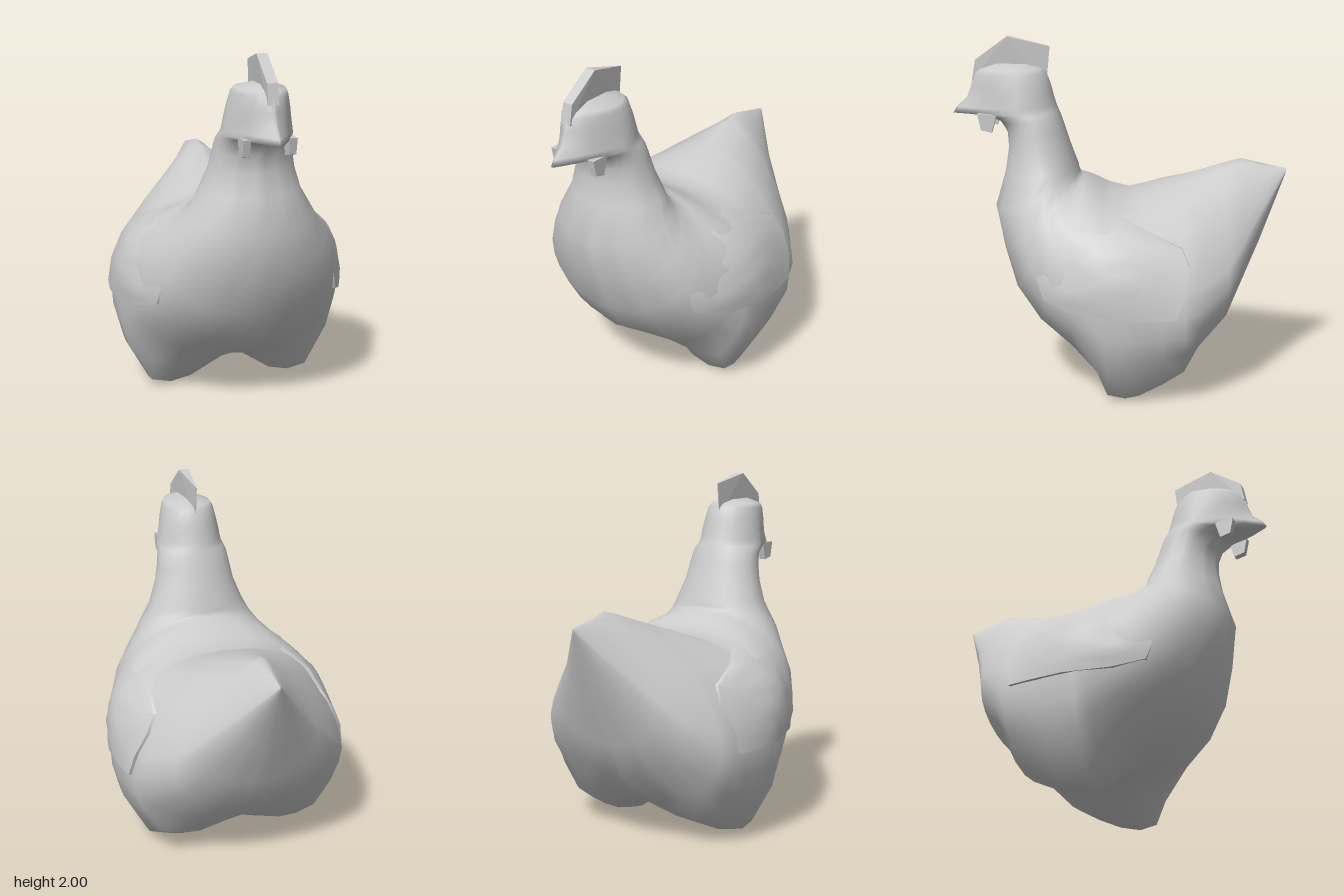
import * as THREE from 'three';
import { toCreasedNormals } from 'three/addons/utils/BufferGeometryUtils.js';

const material = new THREE.MeshStandardMaterial({ color: 0xcccccc, side: THREE.DoubleSide });

// Skin a list of closed rings, closing both ends; winding is chosen so faces point outward
function loft(rings) {
  const n = rings[0].length;
  const middle = ring => {
    const c = ring.reduce((sum, p) => sum.add(p), new THREE.Vector3()).divideScalar(n);
    return ring.map(() => c);
  };
  const all = [middle(rings[0]), ...rings, middle(rings[rings.length - 1])];
  const pts = all.flat();
  const index = [];
  for (let r = 0; r < all.length - 1; r++) {
    for (let i = 0; i < n; i++) {
      const a = r * n + i, b = r * n + (i + 1) % n;
      if (r > 0) index.push(a, b, a + n);
      if (r < all.length - 2) index.push(b, b + n, a + n);
    }
  }
  let volume = 0;
  for (let i = 0; i < index.length; i += 3) {
    const [a, b, c] = [0, 1, 2].map(k => pts[index[i + k]]);
    volume += a.dot(new THREE.Vector3().crossVectors(b, c));
  }
  if (volume < 0) index.reverse();
  const geo = new THREE.BufferGeometry().setFromPoints(pts);
  geo.setIndex(index);
  geo.computeVertexNormals();
  return geo;
}

function addMesh(parent, name, geo) {
  const mesh = new THREE.Mesh(geo, material);
  mesh.name = name;
  parent.add(mesh);
  return mesh;
}

// Cross-sections from tail to crown. Each runs from a back point to a front point in the side plane:
// back z, back y, front z, front y, half width, where it is widest (0..1), back and front roundness, leg amount
const trunk = [
  [-0.95, 1.25, -0.945, 1.22, 0.01, 0.5, 2, 2, 0],
  [-0.80, 1.285, -0.80, 0.83, 0.18, 0.62, 1.3, 2, 0],
  [-0.69, 1.31, -0.69, 0.58, 0.34, 0.68, 1.3, 2, 0],
  [-0.61, 1.29, -0.61, 0.40, 0.46, 0.69, 1.4, 2, 0],
  [-0.45, 1.24, -0.45, 0.25, 0.595, 0.67, 1.6, 2, 0.08],
  [-0.37, 1.215, -0.37, 0.20, 0.62, 0.65, 1.7, 2, 0.45],
  [-0.25, 1.18, -0.25, 0.17, 0.64, 0.62, 1.9, 2, 0.68],
  [-0.12, 1.13, -0.12, 0.16, 0.655, 0.57, 2.2, 2, 0.93],
  [-0.04, 1.105, -0.04, 0.16, 0.66, 0.54, 2.4, 2, 1],
  [0.06, 1.13, 0.06, 0.17, 0.655, 0.53, 2.4, 2, 0.93],
  [0.10, 1.15, 0.12, 0.18, 0.645, 0.52, 2.3, 2, 0.5],
  [0.16, 1.185, 0.28, 0.25, 0.61, 0.53, 2.2, 2, 0.1],
];
const chestAndHead = [
  [0.20, 1.205, 0.46, 0.37, 0.565, 0.56, 2.1, 2],
  [0.22, 1.212, 0.60, 0.57, 0.505, 0.53, 2, 2],
  [0.23, 1.22, 0.67, 0.80, 0.425, 0.53, 2, 2],
  [0.235, 1.235, 0.72, 1.03, 0.345, 0.5, 2, 2],
  [0.24, 1.26, 0.66, 1.24, 0.285, 0.45, 2, 2],
  [0.28, 1.37, 0.64, 1.37, 0.24, 0.5, 2, 2],
  [0.315, 1.48, 0.645, 1.46, 0.22, 0.5, 2, 2],
  [0.335, 1.54, 0.69, 1.53, 0.21, 0.47, 2, 1.8],
  [0.35, 1.58, 0.78, 1.555, 0.20, 0.45, 2, 1.6],
  [0.355, 1.595, 0.955, 1.565, 0.195, 0.36, 2, 1.2],
  [0.365, 1.62, 0.935, 1.60, 0.19, 0.37, 2, 1.2],
  [0.38, 1.67, 0.875, 1.655, 0.18, 0.39, 2, 1.4],
  [0.395, 1.73, 0.85, 1.72, 0.167, 0.4, 2, 1.6],
  [0.42, 1.80, 0.835, 1.79, 0.15, 0.4, 2, 1.7],
  [0.45, 1.825, 0.80, 1.82, 0.135, 0.42, 2, 1.8],
  [0.53, 1.845, 0.71, 1.85, 0.04, 0.5, 2, 2],
];

// Front half of a section: fraction of the width, then the x and y it takes where the leg is full
const legProfile = [[0.95, 0.645, 0.42], [0.86, 0.605, 0.26], [0.74, 0.47, 0.02], [0.56, 0.36, 0],
  [0.4, 0.24, 0.03], [0.1, 0.06, 0.16]];

function bodyRing([bz, by, fz, fy, w, mid, eb, ef, leg = 0]) {
  const at = (x, t) => new THREE.Vector3(x, by + (fy - by) * t, bz + (fz - bz) * t);
  const half = [];
  for (let i = 1; i <= 6; i++) {
    const a = (i / 6) * Math.PI / 2;
    half.push(at(w * Math.sin(a) ** (2 / eb), mid - mid * Math.max(0, Math.cos(a)) ** (2 / eb)));
  }
  for (const [c, legX, legY] of legProfile) {
    const p = at(w * c, mid + (1 - mid) * (1 - c ** ef) ** (1 / ef));
    half.push(p.lerp(new THREE.Vector3(legX, legY, p.z), leg));
  }
  const mirrored = half.map(p => new THREE.Vector3(-p.x, p.y, p.z)).reverse();
  return [at(0, 0), ...half, at(0, 1), ...mirrored];
}

// Folded wing: a thin panel lying on the body, its upper front sinking into the shoulder
function wingGeometry(body, side) {
  const outline = [[0.45, 0.74], [0.40, 0.90], [0.2, 1.03], [-0.02, 1.05], [-0.2, 0.98], [-0.35, 0.91],
    [-0.39, 0.82], [-0.365, 0.68], [-0.33, 0.55], [-0.15, 0.55], [0, 0.555], [0.25, 0.57], [0.41, 0.62]];
  const inward = new THREE.Vector3(-1, 0, 0);
  const ring = (k, sink) => outline.map(([oz, oy]) => {
    const z = 0.05 + (oz - 0.05) * k, y = 0.8 + (oy - 0.8) * k;
    const hit = new THREE.Raycaster(new THREE.Vector3(2, y, z), inward).intersectObject(body)[0];
    const front = THREE.MathUtils.smoothstep(z, 0, 0.42);
    const high = THREE.MathUtils.smoothstep(y, 0.6, 0.85);
    const lift = sink ? -0.04 : 0.02 - 0.035 * front * high;
    return new THREE.Vector3(side * (hit.point.x + lift), y, z);
  });
  return toCreasedNormals(loft([ring(1, true), ring(1), ring(0.8), ring(0.6), ring(0.4), ring(0.2)]), 0.9);
}

// Flat plate drawn in the side plane (z, y) with its thickness along x
function plate(points, thickness) {
  const shape = new THREE.Shape(points.map(p => new THREE.Vector2(...p)));
  return new THREE.ExtrudeGeometry(shape, { depth: thickness, bevelEnabled: false })
    .translate(0, 0, -thickness / 2).rotateY(-Math.PI / 2);
}

export function createModel() {
  const model = new THREE.Group();
  model.name = 'hen';

  // Tail, belly, legs, neck, head and beak as one continuous skin
  const body = addMesh(model, 'body', loft([...trunk, ...chestAndHead].map(bodyRing)));

  // Comb, narrowing to an edge at the back
  const comb = plate([[0.84, 1.76], [0.82, 1.87], [0.64, 2], [0.4, 1.945], [0.42, 1.755], [0.62, 1.75]], 0.06);
  const pos = comb.attributes.position;
  for (let i = 0; i < pos.count; i++) if (pos.getZ(i) < 0.5) pos.setX(i, pos.getX(i) * 0.08);
  comb.computeVertexNormals();
  addMesh(model, 'comb', comb);

  for (const side of [1, -1]) {
    const label = side > 0 ? 'left' : 'right';
    addMesh(model, label + 'Wing', wingGeometry(body, side));

    // Wattle hanging beside the throat
    const wattle = plate([[0.69, 1.58], [0.72, 1.475], [0.78, 1.49], [0.80, 1.58]], 0.04);
    addMesh(model, label + 'Wattle', wattle.translate(side * 0.125, 0, 0));
  }
  return model;
}
